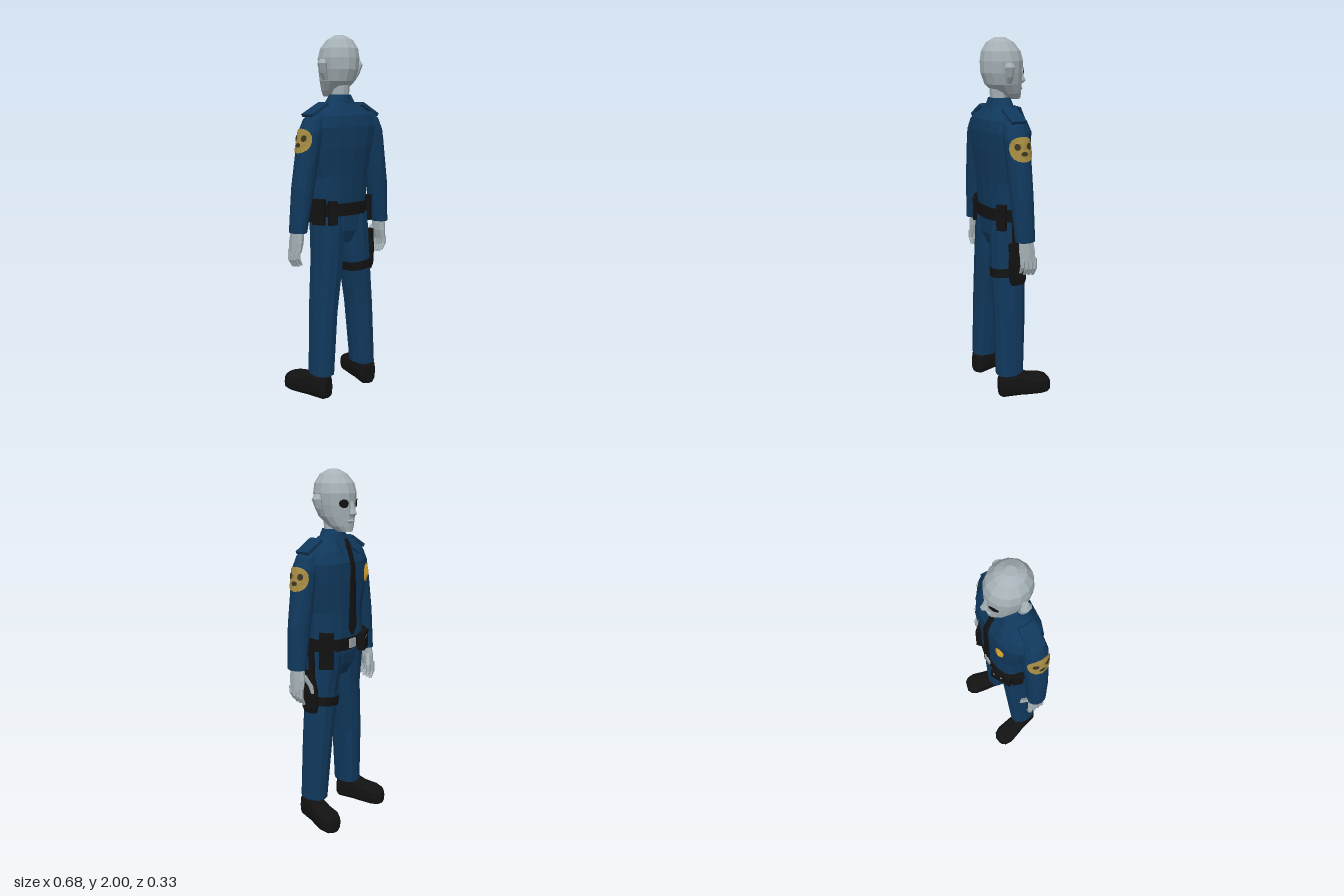
import * as THREE from 'three';

const paint = (name, color, side = THREE.FrontSide) => {
  const m = new THREE.MeshStandardMaterial({ color });
  m.name = name;
  m.side = side;
  return m;
};

export function createModel() {
  const root = new THREE.Group();
  root.name = 'officer';
  const navy = paint('navy cloth', 0x10385c), black = paint('black leather', 0x121212);
  const skin = paint('grey skin', 0xa6b2b7), gold = paint('gold metal', 0xdca22e);
  const thread = paint('patch thread', 0xa58b42), dark = paint('patch dark', 0x3a3524);
  const silver = paint('silver', 0x9aa3aa);

  const add = (geo, mat, name, parent = root) => {
    const mesh = new THREE.Mesh(geo, mat);
    mesh.name = name;
    parent.add(mesh);
    return mesh;
  };
  const pow = (v, p) => Math.sign(v) * Math.abs(v) ** p;
  const ring = ([y, cx, cz, rx, rz], a, p, off = 0) =>
    [cx + (rx + off) * pow(Math.cos(a), p), y, cz + (rz + off) * pow(Math.sin(a), p)];
  const flat = (pos) => {
    const g = new THREE.BufferGeometry();
    g.setAttribute('position', new THREE.Float32BufferAttribute(pos.flat(), 3));
    g.computeVertexNormals();
    return g;
  };

  // Closed faceted body through cross-sections [y, cx, cz, rx, rz], bottom to top
  const loft = (secs, n = 12, p = 1) => {
    const pos = [], at = (i, j) => ring(secs[i], (j % n) / n * Math.PI * 2, p);
    const last = secs.length - 1, mid = (s) => [s[1], s[0], s[2]];
    for (let j = 0; j < n; j++) {
      for (let i = 0; i < last; i++) {
        pos.push(at(i, j), at(i + 1, j), at(i, j + 1));
        pos.push(at(i, j + 1), at(i + 1, j), at(i + 1, j + 1));
      }
      pos.push(mid(secs[0]), at(0, j), at(0, j + 1));
      pos.push(mid(secs[last]), at(last, j + 1), at(last, j));
    }
    return flat(pos);
  };

  // Thin patch lying on a loft: centre angle and height, half sizes, squareness, raise
  const decal = (secs, p, a0, y0, ha, hy, q = 1, off = 0.005, dome = 0) => {
    const n = 16, pos = [];
    const on = (r, t) => {
      const a = a0 + ha * r * pow(Math.cos(t), q), y = y0 + hy * r * pow(Math.sin(t), q);
      let i = 0;
      while (i < secs.length - 2 && secs[i + 1][0] < y) i++;
      const k = (y - secs[i][0]) / (secs[i + 1][0] - secs[i][0]);
      return ring(secs[i].map((v, c) => v + (secs[i + 1][c] - v) * k), a, p, off + dome * (1 - r));
    };
    for (let j = 0; j < n; j++) {
      const t = j / n * Math.PI * 2, u = (j + 1) / n * Math.PI * 2;
      pos.push(on(0, 0), on(0.5, u), on(0.5, t));
      pos.push(on(0.5, t), on(0.5, u), on(1, t), on(1, t), on(0.5, u), on(1, u));
    }
    return flat(pos);
  };
  const box = (w, h, d, mat, name, x, y, z, ry = 0, rz = 0) => {
    const m = add(new THREE.BoxGeometry(w, h, d), mat, name);
    m.position.set(x, y, z);
    m.rotation.set(0, ry, rz);
    return m;
  };
  const FRONT = -Math.PI / 2;

  // Head, nose, brow, neck
  const head = [[1.68, 0, -0.042, 0.038, 0.044], [1.71, 0, -0.015, 0.066, 0.073],
    [1.76, 0, 0.015, 0.09, 0.104], [1.82, 0, 0.025, 0.104, 0.117], [1.88, 0, 0.026, 0.111, 0.119],
    [1.93, 0, 0.03, 0.102, 0.108], [1.975, 0, 0.035, 0.07, 0.075], [2, 0, 0.035, 0.026, 0.028]];
  add(loft(head, 14), skin, 'head');
  add(loft([[1.758, 0, -0.09, 0.012, 0.012], [1.775, 0, -0.096, 0.02, 0.025],
    [1.8, 0, -0.092, 0.012, 0.018], [1.84, 0, -0.086, 0.009, 0.01]], 6), skin, 'nose');
  add(loft([[1.728, 0, -0.08, 0.022, 0.012], [1.735, 0, -0.083, 0.03, 0.014],
    [1.745, 0, -0.08, 0.022, 0.012]], 8), skin, 'lips');
  add(loft([[1.58, 0, 0.045, 0.055, 0.05], [1.66, 0, 0.042, 0.048, 0.045],
    [1.76, 0, 0.045, 0.05, 0.05]], 10), skin, 'neck');
  for (const s of [1, -1]) {
    const ear = add(loft([[1.765, s * 0.098, 0.035, 0.01, 0.014], [1.8, s * 0.112, 0.038, 0.02, 0.022],
      [1.85, s * 0.126, 0.043, 0.022, 0.03], [1.875, s * 0.12, 0.042, 0.015, 0.018]], 8), skin, 'ear');
    ear.position.y = 0;
    add(decal(head, 1, FRONT + s * 0.5, 1.828, 0.24, 0.022, 1, 0.005), black, 'eye');
  }

  // Shirt, collar, trousers seat
  const torso = [[1.02, 0, 0.022, 0.168, 0.112], [1.1, 0, 0.022, 0.174, 0.115],
    [1.25, 0, 0.028, 0.17, 0.119], [1.42, 0, 0.033, 0.205, 0.131], [1.52, 0, 0.035, 0.222, 0.129],
    [1.58, 0, 0.042, 0.205, 0.108], [1.62, 0, 0.045, 0.14, 0.078], [1.65, 0, 0.045, 0.085, 0.06]];
  add(loft(torso, 16, 0.8), navy, 'shirt');
  add(loft([[1.6, 0, 0.035, 0.112, 0.084], [1.64, 0, 0.038, 0.092, 0.074],
    [1.69, 0, 0.04, 0.058, 0.06]], 12), navy, 'collar');
  add(loft([[0.88, 0, 0.035, 0.09, 0.07], [0.95, 0, 0.033, 0.16, 0.1],
    [1.05, 0, 0.023, 0.17, 0.112]], 14, 0.85), navy, 'trouserSeat');

  // Tie, badge, chest pockets
  add(loft([[1.12, 0, -0.098, 0.004, 0.006], [1.165, 0, -0.1, 0.034, 0.007], [1.5, 0, -0.101, 0.021, 0.007],
    [1.58, 0, -0.078, 0.014, 0.01], [1.61, 0, -0.062, 0.02, 0.012], [1.64, 0, -0.045, 0.02, 0.01]], 8),
  black, 'tie');
  add(decal(torso, 0.8, FRONT - 0.5, 1.45, 0.14, 0.05, 0.8, 0.011, 0.014), gold, 'badge');

  const legOf = (s) => [[0.14, s * 0.152, 0.06, 0.064, 0.08], [0.5, s * 0.13, 0.05, 0.07, 0.09],
    [0.8, s * 0.097, 0.045, 0.085, 0.095], [0.95, s * 0.088, 0.034, 0.086, 0.104],
    [1.05, s * 0.086, 0.024, 0.084, 0.108]];

  for (const s of [1, -1]) {
    const side = s > 0 ? 'left' : 'right';
    const out = s > 0 ? 0 : Math.PI;
    add(decal(torso, 0.8, FRONT + s * 0.5, 1.41, 0.2, 0.06, 0.4, 0.005), navy, side + 'Pocket');
    add(decal(torso, 0.8, FRONT + s * 0.5, 1.465, 0.22, 0.02, 0.4, 0.009), navy, side + 'PocketFlap');

    // Collar point
    const tip = new THREE.Shape([[0.008, 0.09], [0.075, 0.085], [0.062, 0], [0.03, 0.03]]
      .map(([x, y]) => new THREE.Vector2(s * x, y)));
    const flap = add(new THREE.ExtrudeGeometry(tip, { depth: 0.01, bevelEnabled: false }), navy, side + 'CollarPoint');
    flap.position.set(0, 1.565, -0.092);
    flap.rotation.x = 0.5;

    // Sleeve with its shoulder patch and epaulette
    const arm = [[0.965, s * 0.295, 0.045, 0.045, 0.055], [1.2, s * 0.265, 0.05, 0.062, 0.062],
      [1.4, s * 0.232, 0.052, 0.062, 0.068], [1.5, s * 0.212, 0.055, 0.064, 0.068],
      [1.56, s * 0.192, 0.055, 0.057, 0.058], [1.6, s * 0.165, 0.053, 0.04, 0.042]];
    add(loft(arm, 16), navy, side + 'Sleeve');
    add(decal(arm, 1, out, 1.45, 1.1, 0.064, 0.9, 0.006), thread, side + 'ShoulderPatch');
    for (const [da, dy, ha, hy] of [[0.45, 0.014, 0.22, 0.017], [-0.45, 0.014, 0.22, 0.017], [0, -0.022, 0.25, 0.012]])
      add(decal(arm, 1, out + da, 1.45 + dy, ha, hy, 1, 0.009), dark, side + 'PatchEmblem');
    box(0.13, 0.018, 0.085, navy, side + 'Epaulette', s * 0.178, 1.61, 0.05, 0, -s * 0.5);

    // Hand: palm, four curled fingers, thumb
    add(loft([[0.855, s * 0.308, 0.034, 0.022, 0.046], [0.91, s * 0.3, 0.036, 0.029, 0.048],
      [0.99, s * 0.295, 0.042, 0.032, 0.036]], 8, 0.8), skin, side + 'Palm');
    for (let f = 0; f < 4; f++) {
      const z = -0.002 + f * 0.024, e = f === 3 ? 0.02 : f * 0.004;
      add(loft([[0.77 + e, s * 0.293, z, 0.008, 0.009], [0.81 + e, s * 0.314, z, 0.013, 0.013],
        [0.87, s * 0.314, z, 0.015, 0.013]], 6), skin, side + 'Finger');
    }
    add(loft([[0.825, s * 0.247, -0.022, 0.008, 0.01], [0.865, s * 0.252, -0.016, 0.014, 0.014],
      [0.93, s * 0.283, 0.008, 0.016, 0.018]], 6), skin, side + 'Thumb');

    // Leg and boot
    add(loft(legOf(s), 12, 0.85), navy, side + 'TrouserLeg');
    const boot = loft([[0, 0, 0.065, 0.034, 0.055], [0.018, 0, 0.076, 0.05, 0.074], [0.12, 0, 0.076, 0.053, 0.074],
      [0.17, 0, 0.064, 0.06, 0.062], [0.24, 0, 0.058, 0.066, 0.056], [0.28, 0, 0.052, 0.054, 0.048],
      [0.3, 0, 0.045, 0.03, 0.034]], 12, 0.65);
    boot.rotateX(-Math.PI / 2);
    const shoe = add(boot, black, side + 'Boot');
    shoe.position.set(s * 0.153, 0, 0.128);
    shoe.rotation.y = -s * 0.245;
  }

  // Duty belt, buckle and pouches placed round it
  const belt = [1.04, 0, 0.024, 0.182, 0.122];
  add(loft([belt, [1.108, ...belt.slice(1)]], 18, 0.85), black, 'belt');
  box(0.05, 0.05, 0.012, silver, 'buckle', 0, 1.074, -0.1);
  const onBelt = (deg, w, h, d, y, name) => {
    const a = deg * Math.PI / 180, [x, , z] = ring(belt, a, 0.85);
    return box(w, h, d, black, name, x, y, z, Math.atan2(Math.cos(a) / belt[3], Math.sin(a) / belt[4]));
  };
  onBelt(-128, 0.12, 0.1, 0.045, 1.065, 'magazinePouch');
  onBelt(-166, 0.06, 0.12, 0.035, 1.065, 'glovePouch');
  onBelt(160, 0.07, 0.14, 0.035, 1.065, 'radioPouch');
  onBelt(128, 0.05, 0.13, 0.04, 1.06, 'cuffPouch');
  onBelt(-32, 0.08, 0.2, 0.045, 1.05, 'sidePouch');
  onBelt(38, 0.05, 0.14, 0.04, 1.065, 'backPouch');
  for (const x of [-0.135, -0.095])
    box(0.012, 0.012, 0.008, silver, 'pouchStud', x, 1.085, -0.107 + (x < -0.12 ? 0.016 : -0.004), 0.5);

  // Thigh holster, its strap and drop strap
  const strap = add(loft([[-0.024, 0, 0, 0.09, 0.103], [0.024, 0, 0, 0.088, 0.102]], 14, 0.85), black, 'thighStrap');
  strap.position.set(0.105, 0.745, 0.044);
  strap.rotation.z = 0.14;
  add(loft([[0.69, 0.2, 0.035, 0.02, 0.04], [0.72, 0.202, 0.037, 0.024, 0.052], [0.82, 0.203, 0.04, 0.024, 0.055],
    [0.91, 0.205, 0.045, 0.018, 0.04]], 8, 0.6), black, 'holster');
  box(0.012, 0.2, 0.035, black, 'dropStrap', 0.183, 0.96, 0.04);
  box(0.022, 0.05, 0.035, black, 'pistolGrip', 0.203, 0.905, 0.07);
  return root;
}
